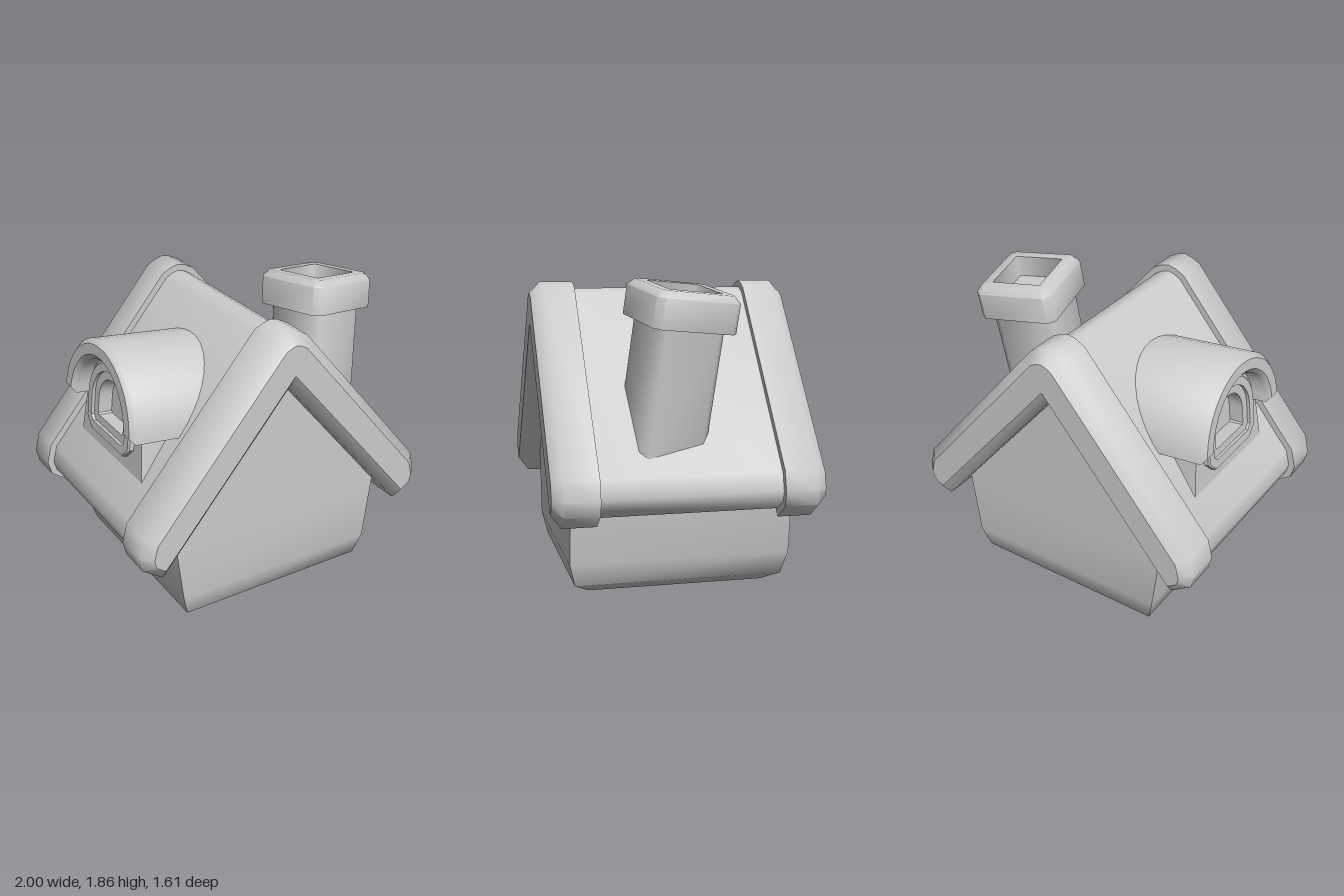
import * as THREE from 'three';
import { mergeGeometries, toCreasedNormals } from 'three/addons/utils/BufferGeometryUtils.js';

const stone = new THREE.MeshStandardMaterial({ color: 0xcccccc });
stone.name = 'plain grey';

// Joins outlines [points, z] in order; sides are smoothed, caps stay flat.
function loft(rings, capStart = true, capEnd = true, crease = 0.9) {
  const sides = [], caps = [];
  const put = (list, p, z) => list.push(p[0], p[1], z);
  for (let r = 0; r < rings.length - 1; r++) {
    const [a, za] = rings[r], [b, zb] = rings[r + 1];
    a.forEach((p, i) => {
      const j = (i + 1) % a.length;
      put(sides, p, za); put(sides, a[j], za); put(sides, b[j], zb);
      put(sides, p, za); put(sides, b[j], zb); put(sides, b[i], zb);
    });
  }
  const cap = ([pts, z], flip) => {
    const v = pts.map((p) => new THREE.Vector2(p[0], p[1]));
    for (const [i, j, k] of THREE.ShapeUtils.triangulateShape(v, []))
      (flip ? [i, k, j] : [i, j, k]).forEach((n) => put(caps, pts[n], z));
  };
  if (capStart) cap(rings[0], true);
  if (capEnd) cap(rings[rings.length - 1], false);
  const make = (list) => {
    const g = new THREE.BufferGeometry();
    g.setAttribute('position', new THREE.Float32BufferAttribute(list, 3));
    g.computeVertexNormals();
    return g;
  };
  const parts = [toCreasedNormals(make(sides), crease)];
  if (caps.length) parts.push(make(caps));
  return mergeGeometries(parts);
}

// Shrinks a counter-clockwise outline by d.
function inset(pts, d) {
  const normal = (p, q) => {
    const l = Math.hypot(q[0] - p[0], q[1] - p[1]);
    return [-(q[1] - p[1]) / l, (q[0] - p[0]) / l];
  };
  return pts.map((p, i) => {
    const n = normal(pts.at(i - 1), p), m = normal(p, pts[(i + 1) % pts.length]);
    const k = d / (1 + n[0] * m[0] + n[1] * m[1]);
    return [p[0] + (n[0] + m[0]) * k, p[1] + (n[1] + m[1]) * k];
  });
}

// Square with cut corners.
const square = (h, c) => [[h, -h + c], [h, h - c], [h - c, h], [-h + c, h],
  [-h, h - c], [-h, -h + c], [-h + c, -h], [h - c, -h]];
const rect = (x, z) => [[x, -z], [x, z], [-x, z], [-x, -z]];

// Round-topped outline with cut bottom corners.
function arch(w, spring, bottom, cut, foot = w) {
  const pts = [[-foot, bottom + cut], [-foot + cut, bottom], [foot - cut, bottom], [foot, bottom + cut]];
  for (let i = 0; i <= 16; i++) {
    const a = Math.PI * i / 16;
    pts.push([w * Math.cos(a), spring + w * Math.sin(a)]);
  }
  return pts;
}

function add(parent, name, geometry) {
  const mesh = new THREE.Mesh(geometry, stone);
  mesh.name = name;
  parent.add(mesh);
  return mesh;
}

export function createModel() {
  const model = new THREE.Group();
  model.name = 'cottage';
  const house = new THREE.Group();
  house.name = 'house';
  house.position.x = -0.01;
  model.add(house);

  // Walls flare out from a rounded foot
  add(house, 'walls', loft([[rect(0.535, 0.54), 0], [rect(0.63, 0.635), 0.06],
    [rect(0.67, 0.67), 0.2], [rect(0.718, 0.67), 0.6]], true, false).rotateX(-Math.PI / 2));
  const gable = [[0.718, 0.6], [0.735, 0.71], [0, 1.57], [-0.735, 0.71], [-0.718, 0.6]];
  add(house, 'gables', loft([[gable, -0.67], [gable, 0.67]]));

  // Roof: thinner slab between two bevelled end trims
  const half = [[0.05, 1.81], [0.11, 1.78], [0.963, 0.77], [0.995, 0.647], [0.973, 0.56], [0.845, 0.47]];
  const roof = [[0, 1.822], ...half.map(([x, y]) => [-x, y]), [0, 1.47], ...half.slice().reverse()];
  const slab = inset(roof, 0.04);
  add(house, 'roof', loft([[slab, -0.55], [slab, 0.55]]));
  const trim = loft([[roof, 0.537], [roof, 0.74], [inset(roof, 0.065), 0.805]]);
  add(house, 'frontRoofTrim', trim);
  add(house, 'backRoofTrim', trim).rotation.y = Math.PI;

  // Crooked chimney with a hollow cap
  const chimney = new THREE.Group();
  chimney.name = 'chimney';
  chimney.position.set(0.70, 1.81, 0);
  chimney.rotation.set(-0.12, 0.2, -0.105, 'XZY');
  model.add(chimney);
  const shaft = square(0.21, 0.045);
  add(chimney, 'chimneyShaft', loft([[shaft, -1], [shaft, -0.15]]).rotateX(-Math.PI / 2));
  add(chimney, 'chimneyCap', loft([[square(0.26, 0.04), -0.215], [square(0.26, 0.04), -0.04],
    [square(0.225, 0.03), 0], [square(0.165, 0.003), 0], [square(0.165, 0.003), -0.14]])
    .rotateX(-Math.PI / 2));

  // Tilted dormer; outlines face -x
  const dormer = new THREE.Group();
  dormer.name = 'dormer';
  dormer.position.set(-0.885, 1.21, 0);
  dormer.rotation.z = -0.11;
  model.add(dormer);
  const outward = (g) => g.rotateY(-Math.PI / 2);

  const shell = [];
  for (let i = 0; i <= 20; i++) {
    const a = Math.PI * i / 20;
    shell.push([0.46 * Math.cos(a), 0.455 * Math.sin(a)]);
  }
  for (let i = 20; i >= 0; i--) {
    const a = Math.PI * i / 20;
    shell.push([0.33 * Math.cos(a), 0.33 * Math.sin(a)]);
  }
  add(dormer, 'dormerRoof', outward(loft([[shell, -0.76], [shell, -0.03], [inset(shell, 0.03), 0]])));

  // Dormer wall with a recess for the window
  const wall = arch(0.36, 0, -0.34, 0.002, 0.41), recess = arch(0.2, 0.03, -0.11, 0.01);
  add(dormer, 'dormerWall', outward(loft([[wall, -0.7], [wall, -0.117], [recess, -0.117], [recess, -0.21]])));

  // Stepped window frame and pane
  const frame = arch(0.28, 0.03, -0.2, 0.07), step = arch(0.22, 0.03, -0.135, 0.03);
  const hole = arch(0.165, 0.03, -0.085, 0.01);
  add(dormer, 'windowFrame', outward(loft([[frame, -0.13], [frame, -0.09], [inset(frame, 0.01), -0.08],
    [step, -0.08], [step, -0.1], [hole, -0.1], [hole, -0.19]], false, true, 0.7)));

  return model;
}
